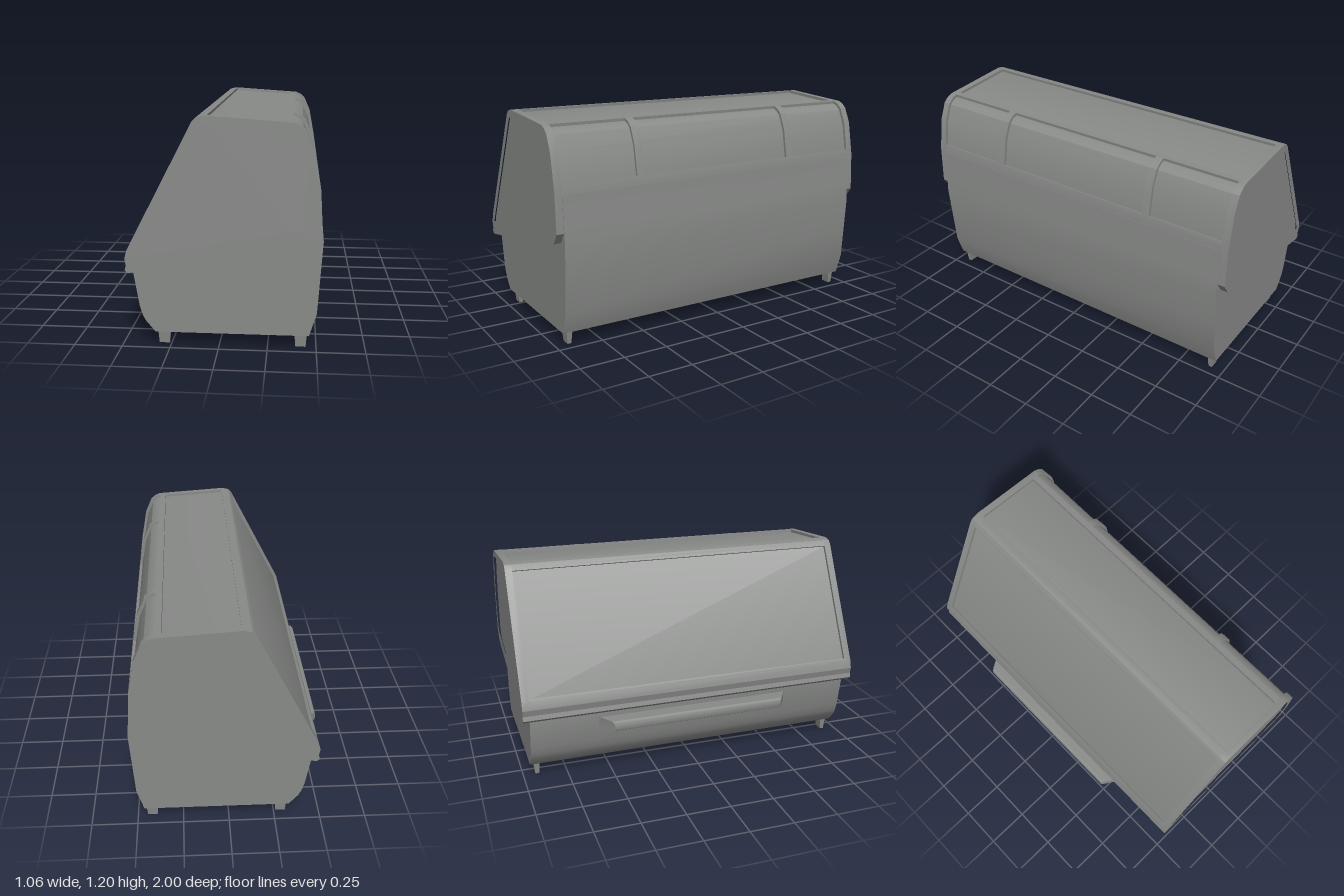
import * as THREE from 'three';
import { toCreasedNormals } from 'three/addons/utils/BufferGeometryUtils.js';

const gray = new THREE.MeshStandardMaterial({ color: 0x888a88 });
gray.name = 'gray';

// Lid outline, clockwise from the lower front lip
const LID = [
  [-0.46, 0.395], [-0.475, 0.41], [-0.468, 0.435], [-0.475, 0.47], [-0.463, 0.515],
  [-0.125, 1.168], [-0.105, 1.188], [-0.065, 1.197], [0.37, 1.167], [0.4, 1.155], [0.43, 1.13],
  [0.47, 1.04], [0.505, 0.85], [0.515, 0.63], [0.475, 0.572], [0.42, 0.553],
];
// Opening in each end frame
const WINDOW = [
  [-0.44, 0.48], [-0.1, 1.138], [-0.085, 1.152], [-0.06, 1.158], [0.36, 1.131], [0.395, 1.113],
  [0.435, 1.02], [0.468, 0.83], [0.462, 0.73], [0.446, 0.66], [0.432, 0.64], [0.41, 0.633],
];
const BODY = [
  [-0.33, 0.07], [-0.38, 0.13], [-0.395, 0.16], [-0.41, 0.21], [-0.442, 0.4], [-0.435, 0.44],
  [0.4, 0.6], [0.47, 0.83], [0.508, 0.83], [0.517, 0.67], [0.526, 0.57], [0.513, 0.38],
  [0.5, 0.19], [0.462, 0.07],
];

const toShape = pts => new THREE.Shape(pts.map(p => new THREE.Vector2(...p)));

// Moves a clockwise outline inward by d; open lines keep square ends
function inset(pts, d, closed = true) {
  const n = pts.length;
  const normal = (a, b) => new THREE.Vector2(b[1] - a[1], a[0] - b[0]).normalize();
  return pts.map((p, i) => {
    const prev = closed || i > 0 ? normal(pts[(i + n - 1) % n], p) : null;
    const next = closed || i < n - 1 ? normal(p, pts[(i + 1) % n]) : null;
    const a = prev || next, b = next || prev;
    const m = a.clone().add(b).multiplyScalar(d / (1 + a.dot(b)));
    return [p[0] + m.x, p[1] + m.y];
  });
}

// Extrudes an outline from z0 to z1
function slab(shape, z0, z1) {
  const geo = new THREE.ExtrudeGeometry(shape, { depth: z1 - z0, bevelEnabled: false, steps: 1 });
  return geo.translate(0, 0, z0);
}

export function createModel() {
  const model = new THREE.Group();
  model.name = 'container';
  const add = (name, geo, parent = model) => {
    const mesh = new THREE.Mesh(toCreasedNormals(geo, 0.45), gray);
    mesh.name = name;
    parent.add(mesh);
    return mesh;
  };

  add('body', slab(toShape(BODY), -0.96, 0.96));

  // Lid: recessed core, raised end frames, bars and ribs
  const lid = new THREE.Group();
  lid.name = 'lid';
  model.add(lid);
  add('lidPanels', slab(toShape(inset(LID, 0.016)), -0.985, 0.985), lid);
  for (const s of [-1, 1]) {
    const ring = toShape(LID);
    ring.holes.push(new THREE.Path(WINDOW.map(p => new THREE.Vector2(...p))));
    add('endFrame', slab(ring, s > 0 ? 0.96 : -1, s > 0 ? 1 : -0.96), lid);
  }
  const band = (name, pts, z0, z1) =>
    add(name, slab(toShape([...pts, ...inset(pts, 0.025, false).reverse()]), z0, z1), lid);
  band('frontLip', [...LID.slice(0, 5), [-0.455, 0.53]], -0.965, 0.965);
  band('frontRidge', [[-0.13, 1.158], ...LID.slice(5, 8), [-0.055, 1.196]], -0.965, 0.965);
  band('rearRidge', [[0.33, 1.17], [0.365, 1.167]], -0.965, 0.965);
  band('rearRail', [[0.499, 0.88], [0.505, 0.85], [0.508, 0.79]], -0.965, 0.965);
  for (const z of [-0.503, 0.503]) {
    band('rib', [[0.35, 1.168], ...LID.slice(8, 12), [0.499, 0.88]], z - 0.022, z + 0.022);
  }

  // Grip with rounded nose and ends slanting out toward the body
  const grip = slab(toShape([
    [-0.41, 0.298], [-0.515, 0.298], [-0.527, 0.305], [-0.531, 0.318], [-0.531, 0.337],
    [-0.527, 0.35], [-0.515, 0.357], [-0.41, 0.357],
  ]), -1, 1);
  const pos = grip.attributes.position;
  for (let i = 0; i < pos.count; i++) {
    const reach = 0.505 + Math.min(0.08, (pos.getX(i) + 0.531) * 0.85);
    pos.setZ(i, Math.sign(pos.getZ(i)) * reach);
  }
  grip.computeVertexNormals();
  add('handle', grip);

  // Tapered feet
  for (const x of [-0.288, 0.42]) {
    for (const z of [-0.92, 0.92]) {
      const foot = new THREE.BoxGeometry(0.066, 0.08, 0.036);
      const p = foot.attributes.position;
      for (let i = 0; i < p.count; i++) {
        if (p.getY(i) < 0) p.setXYZ(i, p.getX(i) * 0.8, p.getY(i), p.getZ(i) * 0.6);
      }
      foot.computeVertexNormals();
      add('foot', foot).position.set(x, 0.04, z);
    }
  }
  return model;
}
